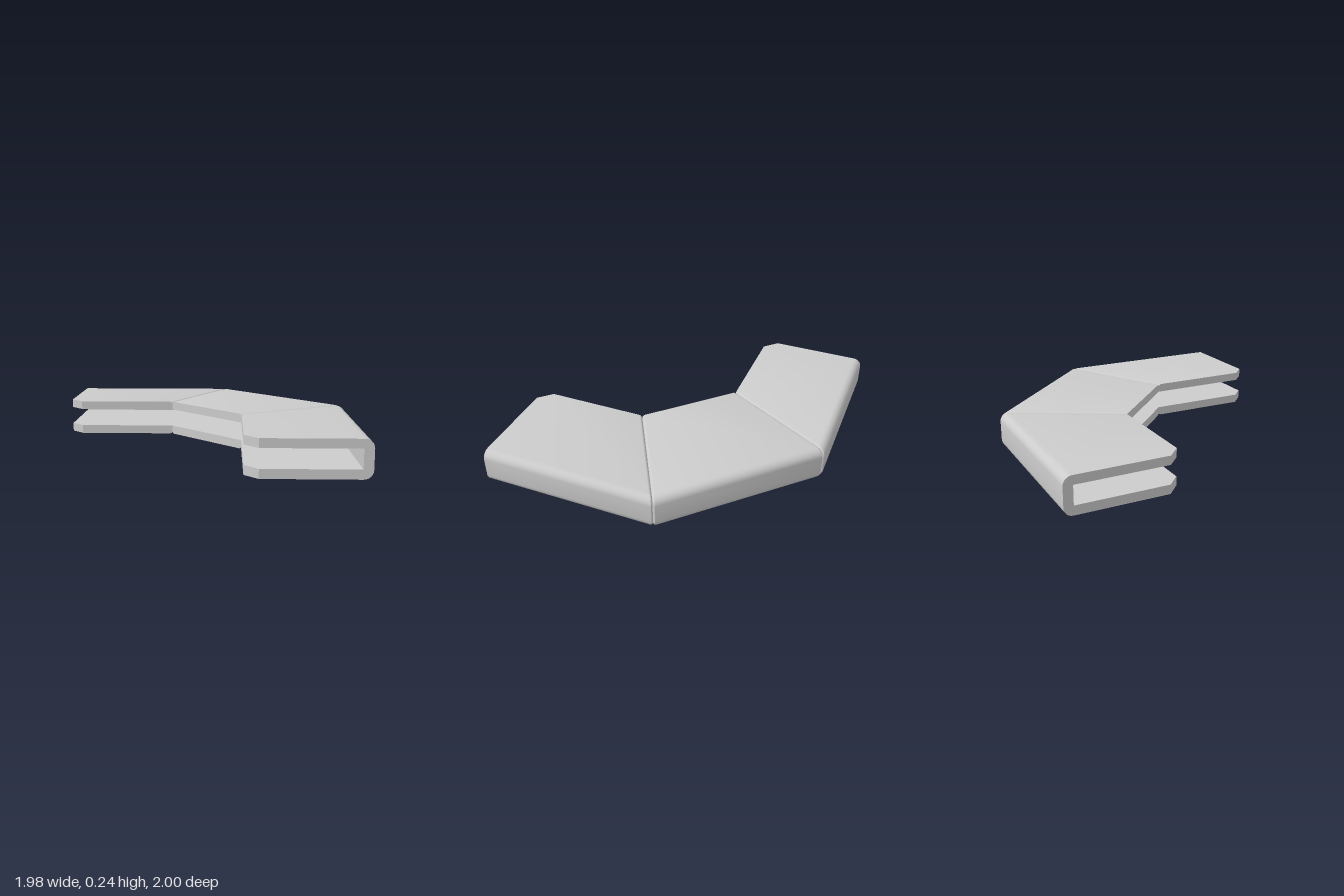
import * as THREE from 'three';
import { toCreasedNormals } from 'three/addons/utils/BufferGeometryUtils.js';

const H = 0.237, R = 0.056;           // overall height, outer edge radius
const WALL = 0.06, LOW = 0.059, HIGH = 0.18; // slot limits
const ARC = 6;
// rounded edge beside a joint: [distance from joint, inset]
const BEVEL = [[0, 0.016], [0.004, 0.008], [0.011, 0.002], [0.02, 0]];

// U-shaped cross-section: u runs inward from the outer edge, y runs up
function section(len, inset) {
  const pts = [[len, inset], [len, LOW], [WALL, LOW], [WALL, HIGH], [len, HIGH], [len, H - inset]];
  const r = R - inset;
  for (const [cy, start] of [[H - R, Math.PI / 2], [R, Math.PI]]) {
    for (let k = 0; k <= ARC; k++) {
      const a = start + (k / ARC) * Math.PI / 2;
      pts.push([R + r * Math.cos(a), cy + r * Math.sin(a)]);
    }
  }
  return pts;
}

// Loft the section through stations { o: outer [x,z], i: inner [x,z], inset }
function channel(name, stations, n, material) {
  const pos = [], flat = [];
  const rings = stations.map(({ o, i, inset = 0 }) => {
    const dx = i[0] - o[0], dz = i[1] - o[1];
    const len = dx * n[0] + dz * n[1];
    const pts = section(len, inset);
    flat.push(pts.map(([u, y]) => new THREE.Vector2(u, y)));
    return pts.map(([u, y]) => [o[0] + dx * u / len, y, o[1] + dz * u / len]);
  });
  const tri = (a, b, c) => pos.push(...a, ...b, ...c);
  for (let j = 0; j < rings.length - 1; j++) {
    const A = rings[j], B = rings[j + 1];
    A.forEach((p, k) => {
      const m = (k + 1) % A.length;
      tri(p, B[k], A[m]);
      tri(A[m], B[k], B[m]);
    });
  }
  const last = rings.length - 1;
  for (const [a, b, c] of THREE.ShapeUtils.triangulateShape(flat[0], [])) tri(rings[0][a], rings[0][b], rings[0][c]);
  for (const [a, b, c] of THREE.ShapeUtils.triangulateShape(flat[last], [])) tri(rings[last][c], rings[last][b], rings[last][a]);
  const g = new THREE.BufferGeometry();
  g.setAttribute('position', new THREE.Float32BufferAttribute(pos, 3));
  const mesh = new THREE.Mesh(toCreasedNormals(g, 0.6), material);
  mesh.name = name;
  return mesh;
}

// Stations beside a joint, moved along direction d
function bevel(joint, d, sign) {
  const list = BEVEL.map(([s, inset]) => {
    const move = (p) => [p[0] + d[0] * s * sign, p[1] + d[1] * s * sign];
    return { o: move(joint.o), i: move(joint.i), inset };
  });
  return sign > 0 ? list : list.reverse();
}

export function createModel() {
  const group = new THREE.Group();
  group.name = 'cornerChannel';
  const material = new THREE.MeshStandardMaterial({ color: 0xcccccc, side: THREE.DoubleSide });
  const q = Math.SQRT1_2;
  const jointA = { o: [0.165, -1], i: [-0.24, -0.265] };
  const jointB = { o: [0.992, -0.173], i: [0.257, 0.232] };

  // Back arm with chamfered free corner
  group.add(channel('backArm', [
    { o: [-0.992, -1], i: [-0.992, -0.35] },
    { o: [-0.905, -1], i: [-0.905, -0.265] },
    ...bevel(jointA, [1, 0], -1),
  ], [0, 1], material));

  // Diagonal corner piece
  group.add(channel('cornerSection', [
    ...bevel(jointA, [q, q], 1),
    ...bevel(jointB, [q, q], -1),
  ], [-q, q], material));

  // Front arm with chamfered free corner
  group.add(channel('frontArm', [
    ...bevel(jointB, [0, 1], 1),
    { o: [0.992, 0.913], i: [0.257, 0.913] },
    { o: [0.992, 1], i: [0.342, 1] },
  ], [-1, 0], material));

  return group;
}
